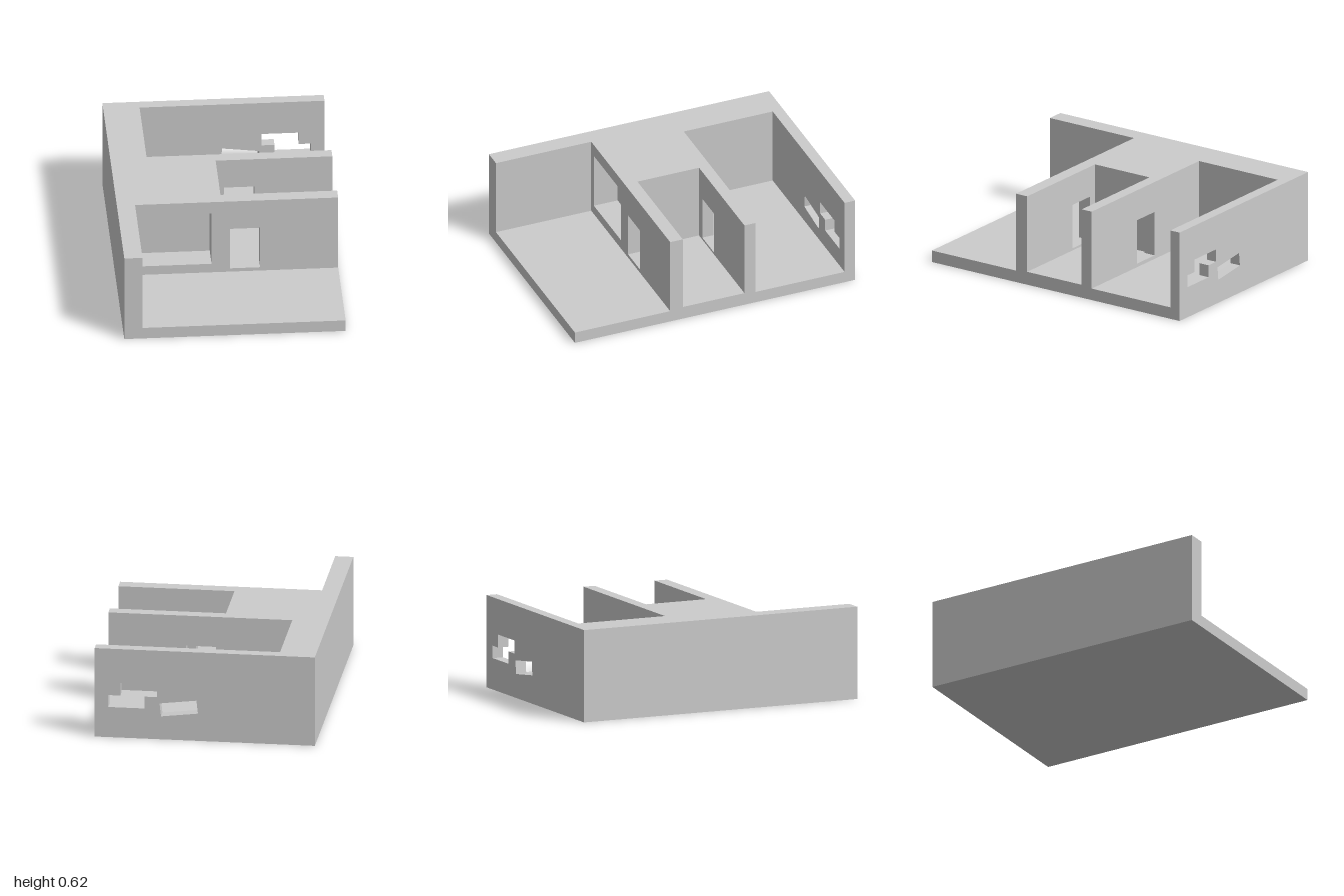
import * as THREE from 'three';

const W = 0.73, H = 0.617;

// Turns corner points into a shape or a hole
const outline = (points, Type = THREE.Shape) => new Type(points.map(([x, y]) => new THREE.Vector2(x, y)));
const rect = (x0, y0, x1, y1) => [[x0, y0], [x1, y0], [x1, y1], [x0, y1]];

// Cross-sections seen from the front: a full wall, or a floor with a solid left block
const fullWall = rect(-W, 0, W, H);
const room = (blockEdge, floor) => [[-W, 0], [W, 0], [W, floor], [blockEdge, floor], [blockEdge, H], [-W, H]];

// Openings
const doorway = rect(0.015, 0.105, 0.215, 0.408);
const recess = rect(-0.565, 0.145, -0.105, 0.532);
const tiltedSlot = [[0.045, 0.19], [0.29, 0.16], [0.30, 0.25], [0.055, 0.28]];
const steppedOpening = [
  [0.40, 0.21], [0.64, 0.21], [0.64, 0.293], [0.56, 0.293],
  [0.56, 0.38], [0.315, 0.38], [0.315, 0.293], [0.40, 0.293],
];

export function createModel() {
  const group = new THREE.Group();
  const material = new THREE.MeshStandardMaterial({ color: 0xcccccc, flatShading: true });

  // Slices from back to front: name, z range, cross-section, openings
  const slices = [
    ['backWall', -1, -0.925, fullWall, [tiltedSlot, steppedOpening]],
    ['backRoom', -0.925, -0.29, room(-0.49, 0.08), []],
    ['rearPartition', -0.29, -0.21, fullWall, [doorway]],
    ['middleRoom', -0.21, 0.15, room(-0.04, 0.09), []],
    ['middleRoomRecessed', 0.15, 0.23, room(-0.04, 0.09), [recess]],
    ['frontPartition', 0.23, 0.32, fullWall, [recess, doorway]],
    ['frontRoom', 0.32, 1, room(-0.61, 0.08), []],
  ];
  for (const [name, z0, z1, section, openings] of slices) {
    const shape = outline(section);
    shape.holes = openings.map((points) => outline(points, THREE.Path));
    const geometry = new THREE.ExtrudeGeometry(shape, { depth: z1 - z0, bevelEnabled: false });
    const mesh = new THREE.Mesh(geometry, material);
    mesh.name = name;
    mesh.position.z = z0;
    group.add(mesh);
  }
  return group;
}
